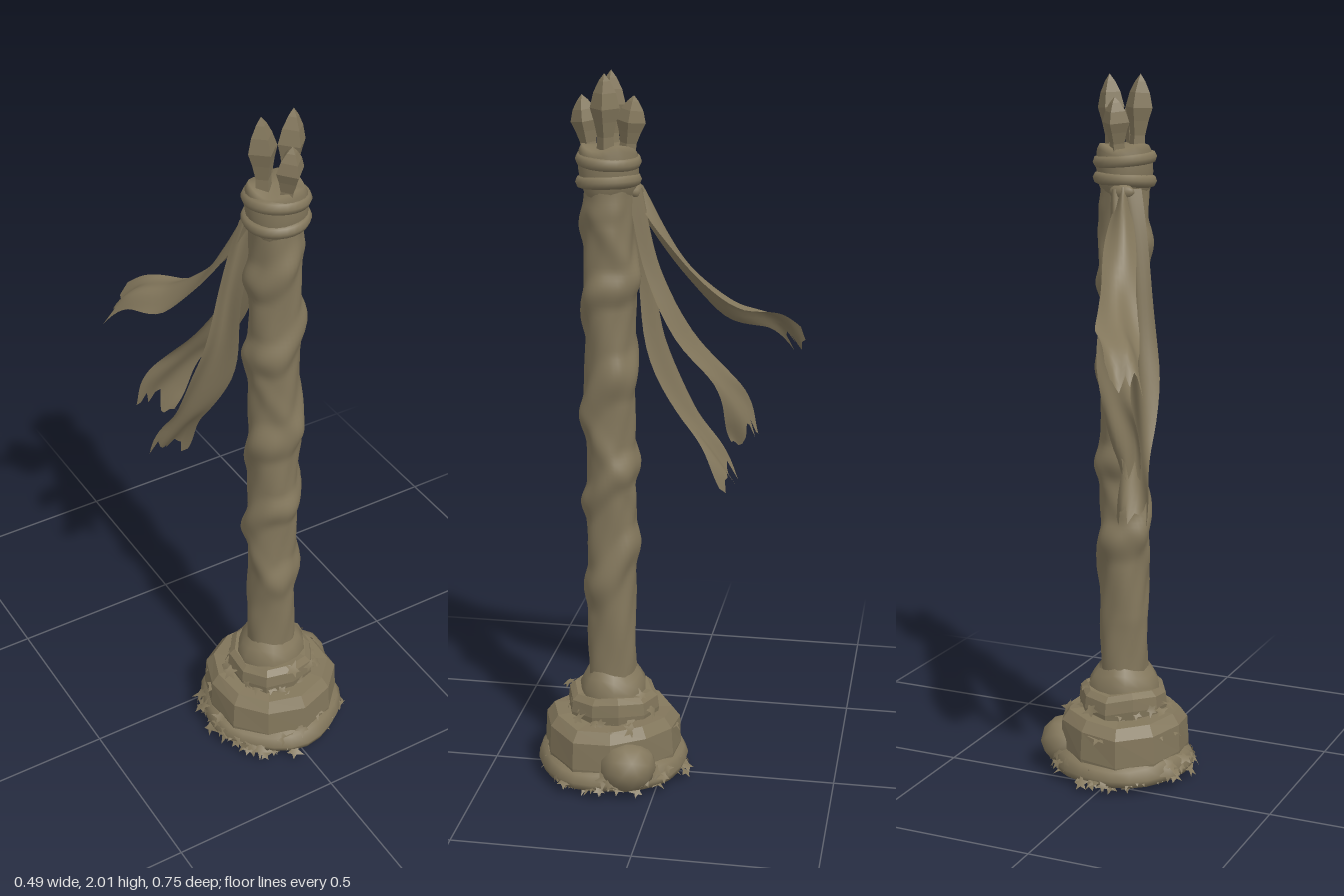
import * as THREE from 'three';
import { mergeVertices, mergeGeometries } from 'three/addons/utils/BufferGeometryUtils.js';

const V = (x, y, z) => new THREE.Vector3(x, y, z);
const AX = 0.007, AZ = 0.145; // axis of the pole

// small seeded random generator
function seeded(s) {
  return () => {
    s = (s * 16807) % 2147483647;
    return s / 2147483647;
  };
}

// lathe whose vertices are moved by a rule(angle, y, r, position)
function lathe(points, sides, rule, flat = false) {
  let g = new THREE.LatheGeometry(points.map(p => new THREE.Vector2(p[0], p[1])), sides);
  g.deleteAttribute('uv');
  g.deleteAttribute('normal');
  const p = g.attributes.position, v = V(0, 0, 0);
  for (let i = 0; i < p.count; i++) {
    v.fromBufferAttribute(p, i);
    rule(Math.atan2(v.x, v.z), v.y, Math.hypot(v.x, v.z), v);
    p.setXYZ(i, v.x, v.y, v.z);
  }
  g = flat ? g.toNonIndexed() : mergeVertices(g, 1e-5);
  g.computeVertexNormals();
  return g;
}

// uneven stone outline
const stoneRule = (amount, phase) => (a, y, r, v) => {
  const k = 1 + amount * (Math.sin(2 * a + phase) + 0.7 * Math.sin(5 * a + phase * 2 + y * 5));
  v.x *= k;
  v.z *= k;
  if (r > 0.05 && y > 0.05) v.y += 0.008 * Math.sin(3 * a + phase);
};

// cloth strip along a path, with turning width direction and a torn end
function ribbon(path, dir0, dir1, widths, seed) {
  const curve = new THREE.CatmullRomCurve3(path.map(p => V(...p)));
  const NU = 10, NV = 28, rnd = seeded(seed);
  const tear = Array.from({ length: NU + 1 }, () => rnd() * 0.13);
  const g = new THREE.PlaneGeometry(1, 1, NU, NV);
  const p = g.attributes.position, d = V(0, 0, 0);
  for (let i = 0; i < p.count; i++) {
    const s = (i % (NU + 1)) / NU - 0.5, row = Math.floor(i / (NU + 1)) / NV;
    const t = row * (1 - tear[i % (NU + 1)] * row ** 6);
    const c = curve.getPoint(t), tan = curve.getTangent(t);
    d.copy(dir0).lerp(dir1, t).addScaledVector(tan, -d.dot(tan)).normalize();
    const n = V(0, 0, 0).crossVectors(tan, d);
    const w = THREE.MathUtils.lerp(widths[0], widths[1], Math.min(1, t * 2.2))
      * (1 + 0.12 * Math.sin(t * 14 + seed));
    c.addScaledVector(d, s * w);
    c.addScaledVector(n, 0.012 * t * Math.sin(s * 7 + t * 9 + seed) - 0.02 * Math.cos(s * 5) * (1 - t));
    p.setXYZ(i, c.x, c.y, c.z);
  }
  g.computeVertexNormals();
  return g;
}

// lobed ivy leaf, folded along its middle
function leafGeometry() {
  const s = new THREE.Shape();
  for (let i = 0; i < 10; i++) {
    const a = i / 10 * Math.PI * 2, r = i % 2 ? 0.011 : i === 0 ? 0.03 : 0.023;
    s[i ? 'lineTo' : 'moveTo'](r * Math.cos(a), r * Math.sin(a));
  }
  const g = new THREE.ShapeGeometry(s);
  const p = g.attributes.position;
  for (let i = 0; i < p.count; i++) p.setZ(i, -0.35 * Math.abs(p.getY(i)));
  g.computeVertexNormals();
  return g;
}

// leaves scattered on a ring, facing outwards and upwards
function leafRing(count, radius, y0, y1, spread, seed) {
  const rnd = seeded(seed), o = new THREE.Object3D(), list = [], leaf = leafGeometry();
  for (let i = 0; i < count; i++) {
    const a = (i + rnd()) / count * Math.PI * 2, h = rnd();
    const r = radius + spread * (rnd() - 0.5) - 0.02 * h;
    o.position.set(r * Math.sin(a), y0 + (y1 - y0) * h * (0.6 + 0.4 * Math.sin(a * 3 + 1)), r * Math.cos(a));
    o.rotation.set(-0.3 - rnd() * 0.8, a + rnd() - 0.5, rnd() * 6.28, 'YXZ');
    o.scale.setScalar(0.75 + rnd() * 0.45);
    o.updateMatrix();
    list.push(leaf.clone().applyMatrix4(o.matrix));
  }
  return mergeGeometries(list);
}

export function createModel() {
  const model = new THREE.Group();
  model.name = 'ribbonPole';
  const stone = new THREE.MeshStandardMaterial({ color: 0x83775c });
  stone.name = 'weatheredStone';
  stone.side = THREE.DoubleSide;

  const pole = new THREE.Group();
  pole.name = 'pole';
  pole.position.set(AX, 0, AZ);
  model.add(pole);
  const add = (name, geometry, parent = pole) => {
    const m = new THREE.Mesh(geometry, stone);
    m.name = name;
    parent.add(m);
    return m;
  };

  // stone foot, low earth mound and upper step
  add('earthMound', lathe([[0, 0.008], [0.205, 0.01], [0.212, 0.03], [0.2, 0.06], [0.17, 0.075]], 26,
    stoneRule(0.03, 1)));
  add('baseStone', lathe([[0, 0.01], [0.186, 0.01], [0.194, 0.07], [0.19, 0.15], [0.168, 0.18], [0, 0.188]], 11,
    stoneRule(0.03, 0.6), true));
  add('upperStep', lathe([[0.125, 0.16], [0.13, 0.2], [0.126, 0.235], [0.11, 0.25], [0, 0.252]], 10,
    stoneRule(0.03, 2.2), true));
  add('poleCollar', lathe([[0.1, 0.23], [0.098, 0.265], [0.084, 0.29], [0.07, 0.31]], 14, stoneRule(0.04, 4)));
  const sideLump = add('sideLump', new THREE.IcosahedronGeometry(0.075, 1));
  sideLump.position.set(0.15, 0.075, -0.07);
  sideLump.scale.set(1.05, 1.0, 1.1);

  // shaft carved with a root winding round it
  const profile = [];
  for (let i = 0; i <= 130; i++) profile.push([0.068, 0.25 + i * 1.48 / 130]);
  add('shaft', lathe(profile, 40, (a, y, r, v) => {
    const S = THREE.MathUtils.smoothstep;
    const wind = S(y, 0.42, 0.6) * (1 - S(y, 1.58, 1.68));
    const wobble = 0.5 * Math.sin(2 * a + y * 4) + 0.35 * Math.sin(y * 11);
    const ridge = Math.max(0, Math.cos(a - y * Math.PI * 2 / 0.27 + wobble)) ** 1.5;
    const thin = Math.max(0, Math.cos(a + y * Math.PI * 2 / 0.62 + 1.2)) ** 9;
    const k = (r + wind * (0.014 * ridge + 0.006 * thin)
      + 0.002 * Math.sin(3 * a + y * 17) + 0.0015 * Math.sin(7 * a - y * 31)) / r;
    v.x *= k;
    v.z *= k;
  }));

  // bound head with two rope rings
  add('head', lathe([[0.066, 1.68], [0.074, 1.7], [0.08, 1.74], [0.078, 1.79], [0.07, 1.806], [0, 1.81]], 24,
    stoneRule(0.01, 1)));
  [[1.715, 0.05], [1.77, -0.07]].forEach(([y, tilt], i) => {
    const ring = add('headRing' + (i + 1), new THREE.TorusGeometry(0.07, 0.019, 8, 28));
    ring.position.y = y;
    ring.rotation.set(Math.PI / 2 + tilt, tilt, 0);
  });

  // four pointed buds, the side pair taller
  const budProfile = [[0.024, 0], [0.022, 0.04], [0.03, 0.08], [0.04, 0.115], [0.03, 0.155], [0.015, 0.185], [0, 0.205]];
  for (let i = 0; i < 4; i++) {
    const side = i % 2 === 1, a = i * Math.PI / 2, d = side ? 0.036 : 0.05;
    const bud = add('bud' + (i + 1), lathe(budProfile, 4, () => {}, true));
    bud.position.set(d * Math.sin(a), side ? 1.795 : 1.785, d * Math.cos(a));
    bud.rotation.set(side ? 0 : 0.13 * Math.cos(a), 0, side ? -0.05 * Math.sin(a) : 0);
    bud.scale.y = side ? 1 : 0.76;
  }

  // ivy around the foot
  add('footIvy', leafRing(110, 0.208, 0.012, 0.1, 0.04, 11));
  add('stepIvy', leafRing(34, 0.128, 0.18, 0.27, 0.04, 37));
  add('rimIvy', leafRing(16, 0.178, 0.14, 0.19, 0.03, 71));
  add('shaftIvy', leafRing(14, 0.09, 0.24, 0.31, 0.02, 53));

  // torn ribbons blown backwards
  const cloth = new THREE.Group();
  cloth.name = 'ribbons';
  model.add(cloth);
  add('upperRibbon', ribbon(
    [[-0.02, 1.69, 0.075], [-0.04, 1.57, 0.01], [-0.075, 1.44, -0.08], [-0.12, 1.35, -0.18], [-0.175, 1.31, -0.29], [-0.21, 1.22, -0.37]],
    V(1, 0.1, -0.3), V(0.65, 0.6, -0.35), [0.04, 0.115], 5), cloth);
  add('middleRibbon', ribbon(
    [[0, 1.69, 0.075], [-0.02, 1.48, 0.03], [-0.045, 1.3, -0.05], [-0.1, 1.15, -0.15], [-0.14, 1.05, -0.195], [-0.165, 0.95, -0.22]],
    V(1, 0, 0), V(0.7, 0.3, 0.6), [0.05, 0.11], 9), cloth);
  add('lowerRibbon', ribbon(
    [[-0.035, 1.69, 0.085], [-0.075, 1.47, 0.055], [-0.095, 1.25, 0.025], [-0.125, 1.05, -0.05], [-0.14, 0.93, -0.12], [-0.15, 0.82, -0.18]],
    V(1, 0, 0.4), V(0.9, 0.1, 0.35), [0.05, 0.1], 14), cloth);
  // knot holding the ribbons
  const knot = add('ribbonKnot', new THREE.SphereGeometry(0.025, 12, 8), cloth);
  knot.position.set(-0.015, 1.685, 0.075);
  knot.scale.set(1.5, 0.9, 0.8);

  return model;
}
